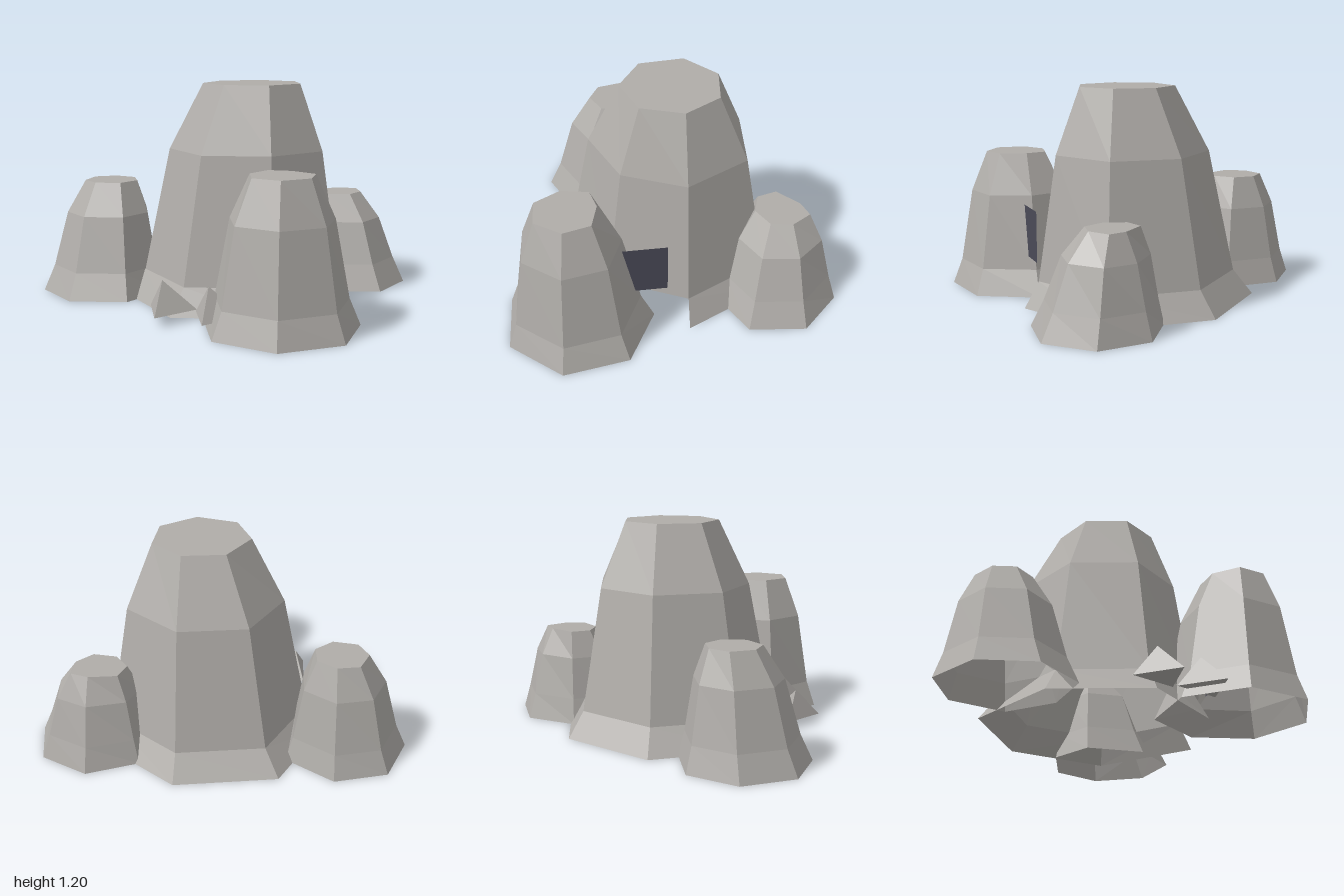
import * as THREE from 'three';

const stone = new THREE.MeshStandardMaterial({ color: 0xb0ada9, flatShading: true, side: THREE.DoubleSide });
stone.name = 'grey stone';
const shadowed = new THREE.MeshStandardMaterial({ color: 0x4a4a57, side: THREE.DoubleSide });
shadowed.name = 'dark cave';

// Faceted boulder, open below. Footprints run clockwise seen from above, as [x, z].
// Middle rings lie between the crown (blend 0) and the base (blend 1).
// The foot of one side, given by gap, may be left open.
function boulder(name, height, mid, base, crown, gap = -1) {
  const rings = [[0, 1], [0.145, 0.75], [mid, 0.425], [height, 0]];
  const at = (r, i) => {
    const [y, t] = rings[r], k = i % base.length;
    return [
      THREE.MathUtils.lerp(crown[k][0], base[k][0], t), y,
      THREE.MathUtils.lerp(crown[k][1], base[k][1], t),
    ];
  };
  const pos = [];
  for (let i = 0; i < base.length; i++) {
    for (let r = i === gap ? 1 : 0; r < 3; r++) {
      const a = at(r, i), b = at(r + 1, i), c = at(r + 1, i + 1), d = at(r, i + 1);
      pos.push(...a, ...b, ...c, ...a, ...c, ...d);
    }
    // flat crown
    if (i > 0 && i < base.length - 1) pos.push(...at(3, 0), ...at(3, i + 1), ...at(3, i));
  }
  const geo = new THREE.BufferGeometry();
  geo.setAttribute('position', new THREE.Float32BufferAttribute(pos, 3));
  geo.computeVertexNormals();
  const mesh = new THREE.Mesh(geo, stone);
  mesh.name = name;
  return mesh;
}

// Small three-sided shard lying at the foot of the rocks
function shard(name, x, z) {
  const geo = new THREE.ConeGeometry(0.155, 0.16, 3).toNonIndexed();
  const p = geo.attributes.position;
  geo.rotateY(0.1);
  for (let i = 0; i < p.count; i++) if (p.getY(i) > 0) p.setX(i, p.getX(i) - 0.03);
  geo.computeVertexNormals();
  const mesh = new THREE.Mesh(geo, stone);
  mesh.position.set(x, 0.13, z);
  mesh.name = name;
  return mesh;
}

export function createModel() {
  const group = new THREE.Group();
  group.name = 'rockFormation';

  group.add(
    boulder('mainRock', 1.2, 0.835,
      [[-0.12, -0.655], [0.48, -0.62], [0.755, -0.07], [0.51, 0.41], [0.01, 0.63], [-0.46, 0.325], [-0.545, -0.25]],
      [[0.08, -0.31], [0.31, -0.28], [0.43, -0.08], [0.35, 0.15], [0.12, 0.23], [-0.08, 0.1], [-0.1, -0.15]], 2),
    boulder('frontRock', 0.79, 0.56,
      [[0.62, 0.11], [0.94, 0.28], [1.0, 0.64], [0.76, 0.91], [0.4, 0.89], [0.19, 0.59], [0.27, 0.24]],
      [[0.6, 0.4], [0.75, 0.44], [0.79, 0.59], [0.69, 0.73], [0.53, 0.72], [0.45, 0.58], [0.48, 0.43]]),
    boulder('sideRock', 0.63, 0.45,
      [[-0.8, -0.08], [-0.47, -0.08], [-0.31, 0.18], [-0.355, 0.48], [-0.65, 0.615], [-0.93, 0.47], [-1.0, 0.16]],
      [[-0.7, 0.05], [-0.57, 0.05], [-0.49, 0.15], [-0.52, 0.28], [-0.65, 0.34], [-0.76, 0.28], [-0.79, 0.14]]),
    boulder('backRock', 0.53, 0.38,
      [[0.33, -0.88], [0.63, -0.915], [0.845, -0.7], [0.81, -0.39], [0.54, -0.255], [0.22, -0.36], [0.16, -0.62]],
      [[0.41, -0.73], [0.51, -0.76], [0.58, -0.65], [0.56, -0.53], [0.44, -0.47], [0.32, -0.51], [0.29, -0.62]]),
    shard('frontShard', 0.02, 0.67),
    shard('cornerShard', 0.295, 0.67),
  );

  // dark opening in the gap beside the front rock
  const cave = new THREE.Mesh(new THREE.PlaneGeometry(0.29, 0.29).rotateY(Math.PI / 2), shadowed);
  cave.position.set(0.65, 0.365, 0.185);
  cave.name = 'caveOpening';
  group.add(cave);
  return group;
}
